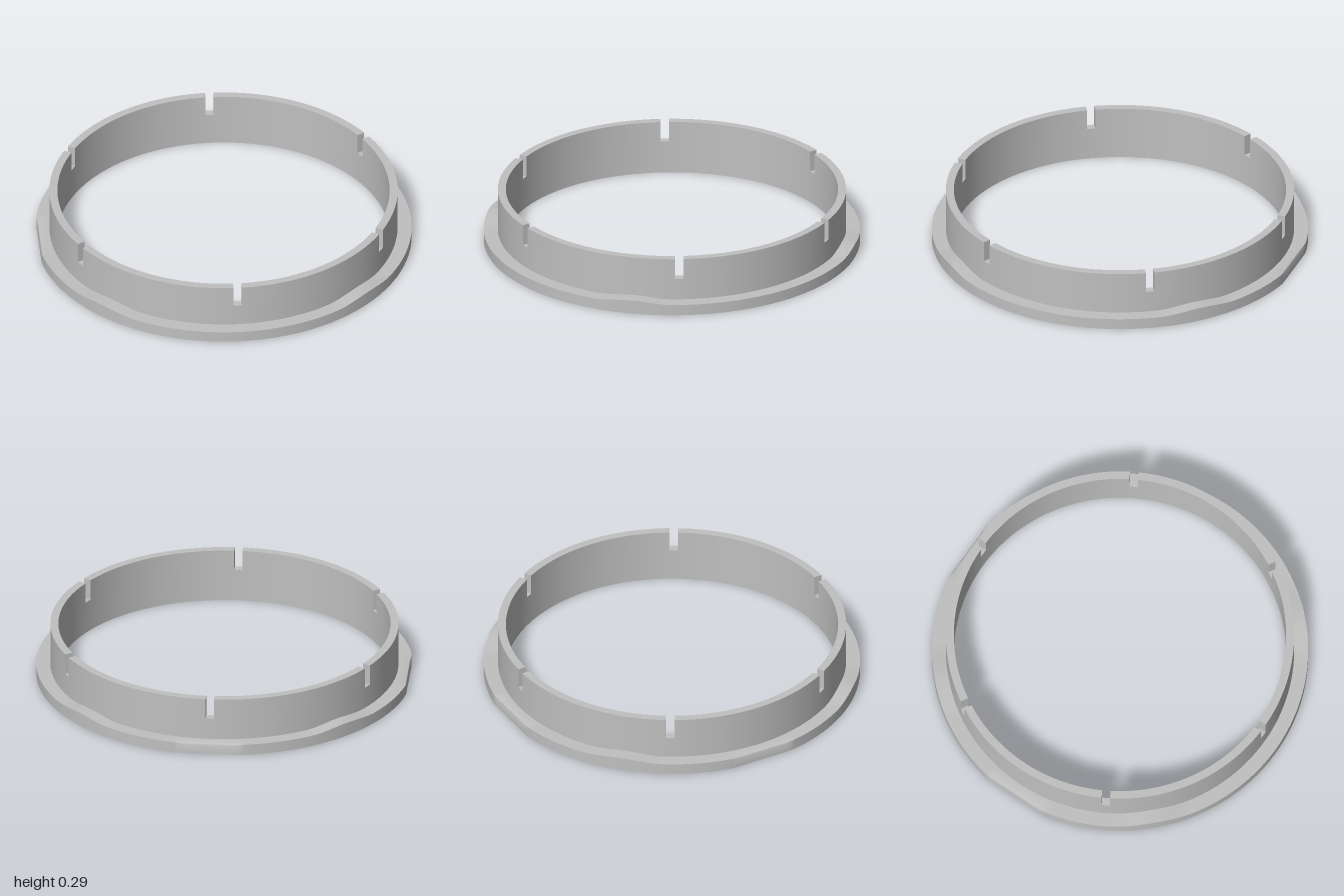
import * as THREE from 'three';
import { toCreasedNormals } from 'three/addons/utils/BufferGeometryUtils.js';

const C = -0.008;            // ring centre in x and z, offset by the two flats
const INNER = 0.89, WALL = 0.933, RIM = 1.008;
const FLANGE_Y = 0.06, SLOT_Y = 0.18, TOP_Y = 0.295;
const SLOT_HALF = 0.0225;
const RAD = Math.PI / 180;

const polar = (r, a, y) => new THREE.Vector3(C + r * Math.cos(a), y, C + r * Math.sin(a));

// Skin a closed loop of open cross-sections, skipping faces without area
function sweep(sections) {
  const pos = [];
  const tri = (a, b, c) => {
    if (new THREE.Triangle(a, b, c).getArea() > 1e-8) {
      for (const p of [a, b, c]) pos.push(p.x, p.y, p.z);
    }
  };
  sections.forEach((s, k) => {
    const n = sections[(k + 1) % sections.length];
    for (let i = 0; i < s.length - 1; i++) {
      tri(s[i], s[i + 1], n[i]);
      tri(s[i + 1], n[i + 1], n[i]);
    }
  });
  const g = new THREE.BufferGeometry();
  g.setAttribute('position', new THREE.Float32BufferAttribute(pos, 3));
  return toCreasedNormals(g, 0.45);
}

// Base flange: four low swells on the diagonals, flats at -x and -z with eased top edges
function flangeGeometry() {
  const sections = [];
  for (let d = 0; d < 360; d += 1.5) {
    const a = d * RAD;
    const off = Math.abs((d % 90) - 45);
    const h = FLANGE_Y + (off < 13 ? 0.016 * Math.cos((off / 13) * Math.PI / 2) ** 2 : 0);
    const reach = Math.max(-Math.cos(a), -Math.sin(a));
    const r = Math.min(RIM, reach > 0 ? (1 + C) / reach : RIM);
    const ease = Math.min(0.012, (RIM - r) * 2);
    sections.push([
      polar(INNER, a, 0), polar(r, a, 0), polar(r, a, h - ease),
      polar(r - ease * 0.3, a, h - ease * 0.3), polar(r - ease, a, h), polar(WALL, a, h),
    ]);
  }
  return sweep(sections);
}

// Upright wall with six parallel-sided slots cut down from its top edge
function wallGeometry() {
  const sections = [];
  const out = Math.asin(SLOT_HALF / WALL), inn = Math.asin(SLOT_HALF / INNER);
  const section = (ao, ai, top) => sections.push([
    polar(WALL, ao, FLANGE_Y), polar(WALL, ao, SLOT_Y), polar(WALL, ao, top),
    polar(INNER, ai, top), polar(INNER, ai, SLOT_Y), polar(INNER, ai, 0),
  ]);
  const steps = 36;
  for (let k = 0; k < 6; k++) {
    const a = (30 + 60 * k) * RAD, b = a + 60 * RAD;
    section(a - out, a - inn, SLOT_Y);
    section(a + out, a + inn, SLOT_Y);
    for (let i = 0; i <= steps; i++) {
      const t = i / steps;
      section(THREE.MathUtils.lerp(a + out, b - out, t), THREE.MathUtils.lerp(a + inn, b - inn, t), TOP_Y);
    }
  }
  return sweep(sections);
}

export function createModel() {
  const group = new THREE.Group();
  group.name = 'slottedRing';
  const grey = new THREE.MeshStandardMaterial({ color: 0xc0c0c0 });
  grey.name = 'light grey';
  const add = (name, geometry) => {
    const mesh = new THREE.Mesh(geometry, grey);
    mesh.name = name;
    group.add(mesh);
  };
  add('flange', flangeGeometry());
  add('slottedWall', wallGeometry());
  return group;
}
